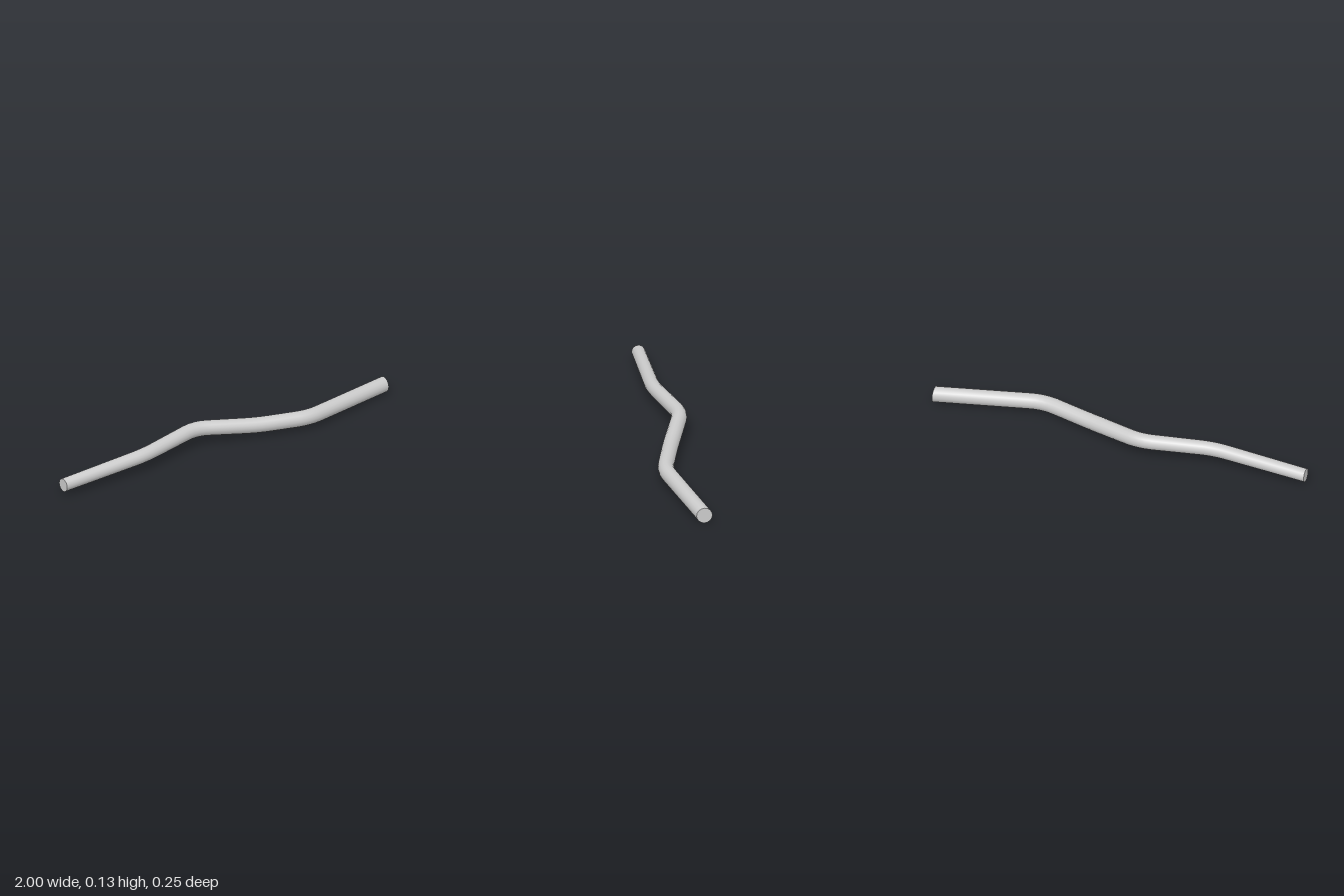
import * as THREE from 'three';
import { mergeVertices, toCreasedNormals } from 'three/addons/utils/BufferGeometryUtils.js';

// Centreline corners, from the thin end to the thick end
const corners = [
  [-1, 0.055, -0.034], [-0.5, 0.084, -0.018], [-0.13, 0.094, -0.094],
  [0.18, 0.064, 0.014], [0.45, 0.059, 0.092], [1, 0.043, -0.013],
].map((p) => new THREE.Vector3(...p));

// Stations along the centreline: each inner corner is eased with a short curve
function makeStations(bend, steps) {
  const stations = [];
  const add = (point, tangent) => stations.push({ point, slope: tangent.z / tangent.x });
  const last = corners.length - 1;
  add(corners[0], corners[1].clone().sub(corners[0]));
  for (let i = 1; i < last; i++) {
    const toward = (p) => corners[i].clone().add(p.clone().sub(corners[i]).setLength(bend));
    const curve = new THREE.QuadraticBezierCurve3(toward(corners[i - 1]), corners[i], toward(corners[i + 1]));
    for (let s = 0; s <= steps; s++) add(curve.getPoint(s / steps), curve.getTangent(s / steps));
  }
  add(corners[last], corners[last].clone().sub(corners[last - 1]));
  return stations;
}

// Closed rod lying along x, its rings moved onto the stations
function bentRod() {
  const stations = makeStations(0.07, 4);
  const n = stations.length - 1;
  let g = new THREE.CylinderGeometry(1, 1, 1, 16, n).rotateZ(Math.PI / 2);
  const pos = g.attributes.position;
  for (let i = 0; i < pos.count; i++) {
    const { point, slope } = stations[Math.round((pos.getX(i) + 0.5) * n)];
    // slight taper toward -x
    const r = THREE.MathUtils.clamp(0.0405 + 0.006 * point.x, 0.0345, 0.041);
    const stretch = Math.abs(point.x) === 1 ? 1 : Math.hypot(1, slope);
    pos.setXYZ(i, point.x, point.y + pos.getY(i) * r, point.z + pos.getZ(i) * r * stretch);
  }
  g.deleteAttribute('uv');
  g.deleteAttribute('normal');
  g = mergeVertices(g);
  return toCreasedNormals(g, 0.8);
}

export function createModel() {
  const group = new THREE.Group();
  group.name = 'bentStick';
  const rod = new THREE.Mesh(bentRod(), new THREE.MeshStandardMaterial({ color: 0xcccccc }));
  rod.name = 'stick';
  group.add(rod);
  return group;
}
